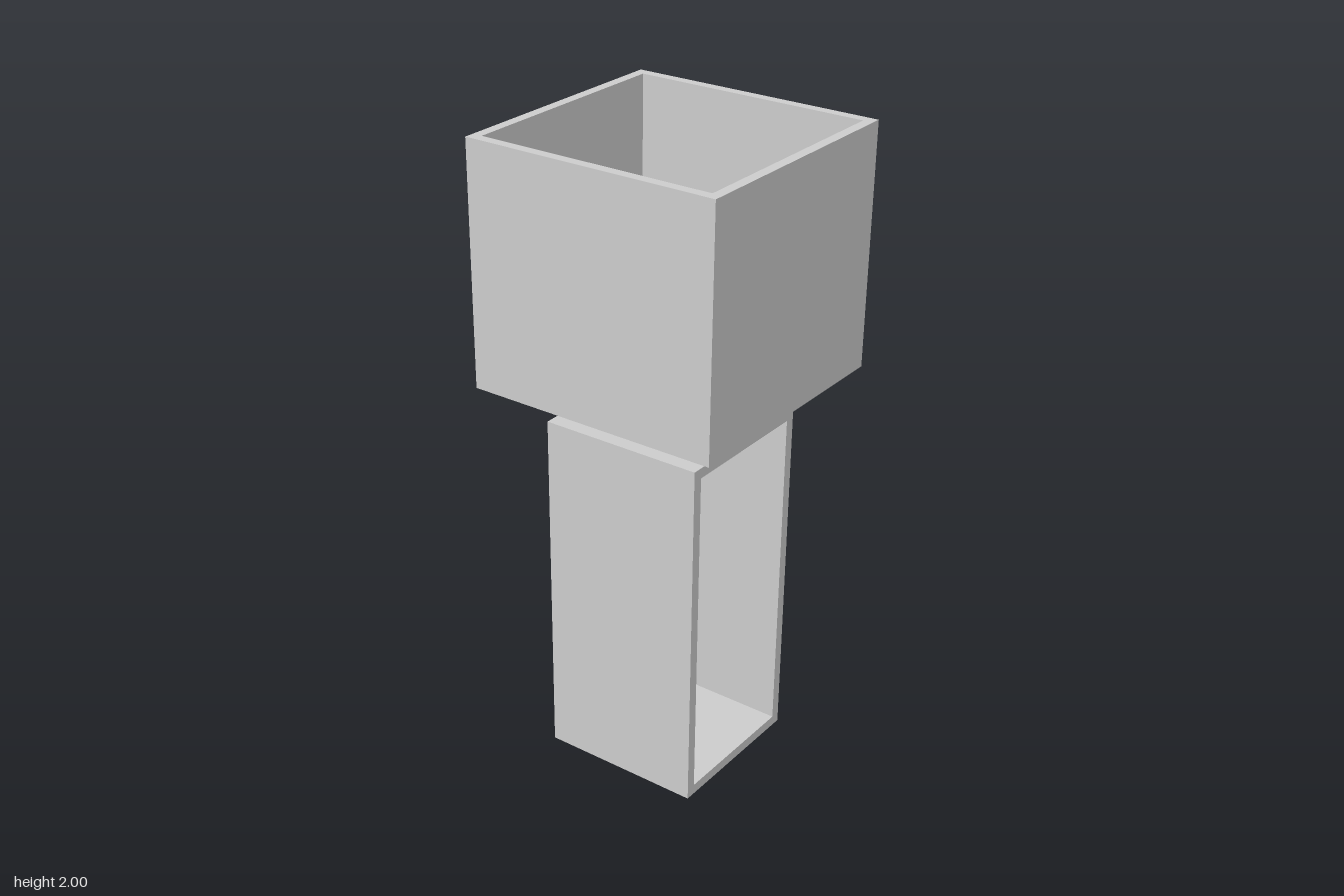
import * as THREE from 'three';

const CX = -0.065, CZ = 0.169; // lamp axis

export function createModel() {
  const root = new THREE.Group();
  const mat = new THREE.MeshStandardMaterial({ color: 0xcccccc });
  const flat = new THREE.MeshStandardMaterial({ color: 0xcccccc, flatShading: true });

  const add = (name, geo, x = 0, y = 0, z = 0, m = mat) => {
    const mesh = new THREE.Mesh(geo, m);
    mesh.name = name;
    mesh.position.set(x, y, z);
    root.add(mesh);
    return mesh;
  };

  // Rectangular tube: outer w x h, wall t, extruded along z and centred
  const frame = (w, h, depth, t) => {
    const rect = (P, a, b) => new P([[-a, -b], [a, -b], [a, b], [-a, b]].map(p => new THREE.Vector2(...p)));
    const shape = rect(THREE.Shape, w / 2, h / 2);
    shape.holes.push(rect(THREE.Path, w / 2 - t, h / 2 - t));
    return new THREE.ExtrudeGeometry(shape, { depth, bevelEnabled: false }).translate(0, 0, -depth / 2);
  };

  // Open box base and square shade
  add('baseFrame', frame(0.378, 0.845, 0.388, 0.024), -0.064, 0.9375, CZ);
  add('shade', frame(0.585, 0.6, 0.55, 0.023).rotateX(Math.PI / 2), CX, 1.725, CZ - 0.001);

  // Stem and the four spokes that carry the shade
  add('stem', new THREE.CylinderGeometry(0.013, 0.013, 0.19, 12), CX, 1.45, CZ);
  for (let i = 0; i < 4; i++) {
    const len = i % 2 ? 0.282 : 0.274;
    const spoke = new THREE.CylinderGeometry(0.007, 0.007, len, 8).rotateZ(Math.PI / 2).translate(len / 2, 0, 0);
    add('shadeSpoke', spoke, CX, 1.53, CZ).rotation.y = i * Math.PI / 2;
  }

  // Socket and bulb
  const lathe = (pts, n) => new THREE.LatheGeometry(pts.map(p => new THREE.Vector2(...p)), n);
  add('socket', lathe([[0, 1.515], [0.026, 1.515], [0.034, 1.525], [0.034, 1.54], [0.026, 1.55], [0.026, 1.575], [0, 1.575]], 12), CX, 0, CZ, flat);
  add('bulb', lathe([[0, 1.57], [0.026, 1.57], [0.032, 1.595], [0.06, 1.635], [0.073, 1.68], [0.063, 1.72], [0.036, 1.745], [0, 1.752]], 11), CX, 0, CZ);

  // Grommet where the cord leaves the base
  add('cordGrommet', new THREE.CylinderGeometry(0.022, 0.022, 0.014, 12).rotateZ(Math.PI / 2), 0.131, 0.565, CZ);

  // Cord, in two runs either side of the switch
  const cord = (name, pts, n) => {
    const path = new THREE.CatmullRomCurve3(pts.map(p => new THREE.Vector3(...p)), false, 'centripetal');
    add(name, new THREE.TubeGeometry(path, n, 0.0095, 8));
    return path;
  };
  cord('cordInner', [[0.12, 0.565, 0.169], [0.19, 0.557, 0.169], [0.25, 0.548, 0.168],
    [0.298, 0.541, 0.15], [0.32, 0.538, 0.118], [0.322, 0.537, 0.09]], 20);
  cord('cordOuter', [[0.322, 0.535, -0.02], [0.322, 0.53, -0.06], [0.322, 0.52, -0.14], [0.325, 0.518, -0.28],
    [0.329, 0.518, -0.42], [0.329, 0.51, -0.448], [0.328, 0.485, -0.462], [0.328, 0.44, -0.463],
    [0.327, 0.2, -0.463], [0.327, 0, -0.463]], 60);
  add('cordEnd', new THREE.CircleGeometry(0.0095, 8).rotateX(Math.PI / 2), 0.327, 0.0005, -0.463);

  // Inline switch: chamfered body with a tilted rocker
  const a = 0.032, b = 0.0225, c = 0.008;
  const body = new THREE.Shape([[-a + c, -b], [a - c, -b], [a, -b + c], [a, b - c], [a - c, b], [-a + c, b], [-a, b - c], [-a, -b + c]]
    .map(p => new THREE.Vector2(...p)));
  const bodyGeo = new THREE.ExtrudeGeometry(body, {
    depth: 0.143, bevelEnabled: true, bevelSegments: 1, bevelSize: 0.006, bevelThickness: 0.006, bevelOffset: -0.006,
  }).translate(0, 0, -0.0715);
  add('switchBody', bodyGeo, 0.323, 0.536, 0.038, flat);
  add('switchRocker', new THREE.BoxGeometry(0.019, 0.018, 0.074), 0.323, 0.556, 0.039).rotation.x = -0.1;

  return root;
}
